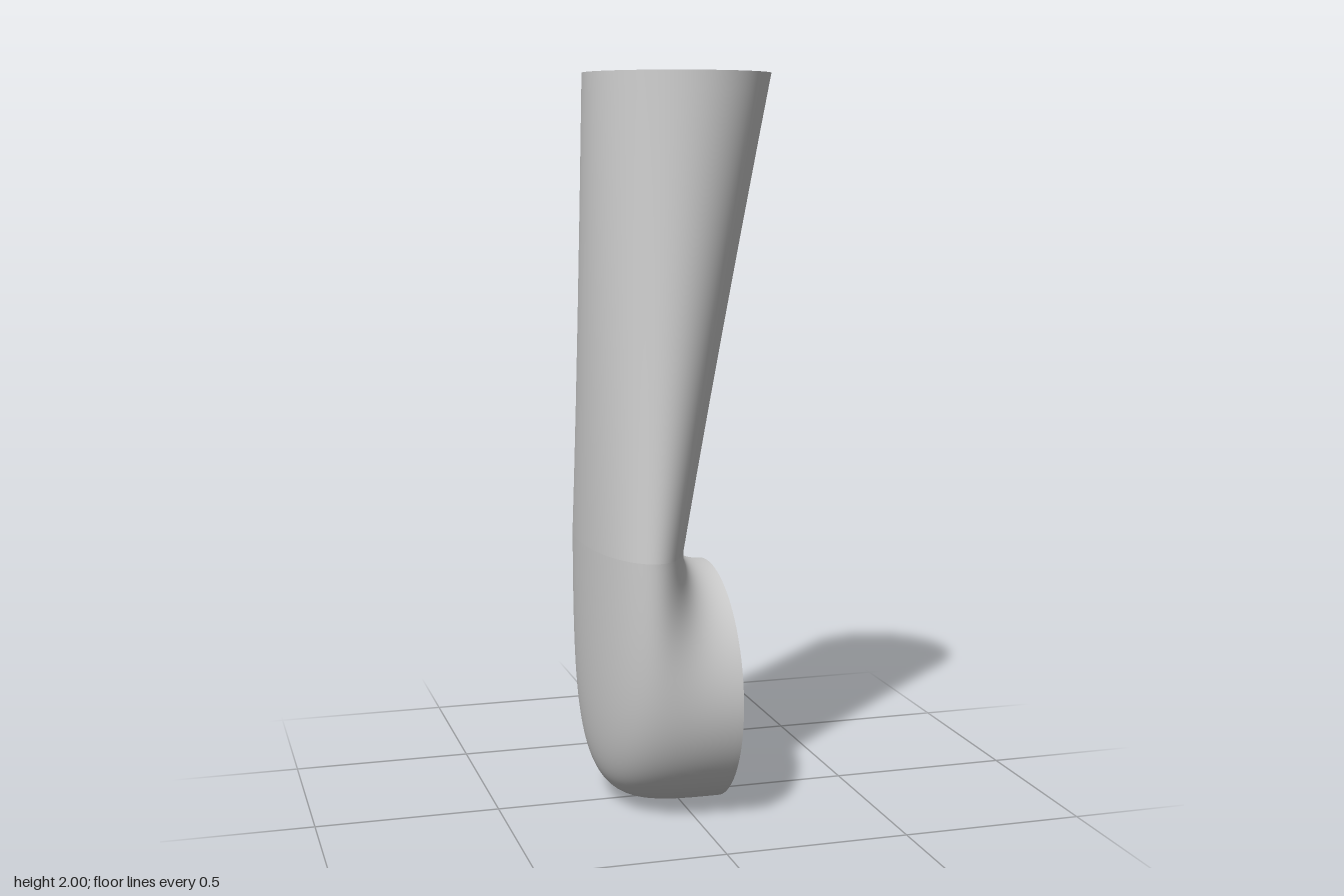
import * as THREE from 'three';

const SEGMENTS = 96;

// Skin an open tube over closed rings; point(angle, t) gives the surface, t from 0 to 1.
function loft(name, rows, point) {
  const positions = [];
  const index = [];
  for (let r = 0; r <= rows; r++) {
    for (let s = 0; s < SEGMENTS; s++) {
      positions.push(...point((s / SEGMENTS) * Math.PI * 2, r / rows).toArray());
    }
  }
  for (let r = 0; r < rows; r++) {
    for (let s = 0; s < SEGMENTS; s++) {
      const next = (s + 1) % SEGMENTS;
      const a = r * SEGMENTS + s, b = r * SEGMENTS + next;
      index.push(a, b, a + SEGMENTS, b, b + SEGMENTS, a + SEGMENTS);
    }
  }
  const geometry = new THREE.BufferGeometry();
  geometry.setAttribute('position', new THREE.Float32BufferAttribute(positions, 3));
  geometry.setIndex(index);
  geometry.computeVertexNormals();
  const material = new THREE.MeshStandardMaterial({ color: 0xcccccc, side: THREE.DoubleSide });
  const mesh = new THREE.Mesh(geometry, material);
  mesh.name = name;
  return mesh;
}

// The three openings, all swept by the same angle (0 is the inside of the bend).
const topRing = (a) => new THREE.Vector3(0.01 + 0.253 * Math.cos(a), 2, 0.253 * Math.sin(a));
const neckRing = (a) => new THREE.Vector3(-0.133 + 0.13 * Math.cos(a), 0.74, 0.332 * Math.sin(a));
const mouthRing = (a) => new THREE.Vector3(0.1, 0.335 + 0.332 * Math.cos(a), 0.332 * Math.sin(a));

// Each strand of the elbow drops from the neck and turns towards the mouth.
function elbowPoint(a, t) {
  const start = neckRing(a);
  const end = mouthRing(a);
  const corner = new THREE.Vector3(start.x, end.y, start.z);
  const pull = 0.8 - 0.2 * Math.cos(a); // tighter corner on the outside of the bend
  const c1 = start.clone().lerp(corner, pull);
  const c2 = end.clone().lerp(corner, pull);
  return new THREE.CubicBezierCurve3(start, c1, c2, end).getPoint(t);
}

export function createModel() {
  const group = new THREE.Group();
  group.name = 'elbowDuct';

  // Straight duct changing from a round top to a flattened oval neck
  group.add(loft('upperDuct', 24, (a, t) => topRing(a).lerp(neckRing(a), t)));

  // Elbow from the oval neck to the round side mouth
  group.add(loft('elbow', 40, elbowPoint));

  return group;
}
